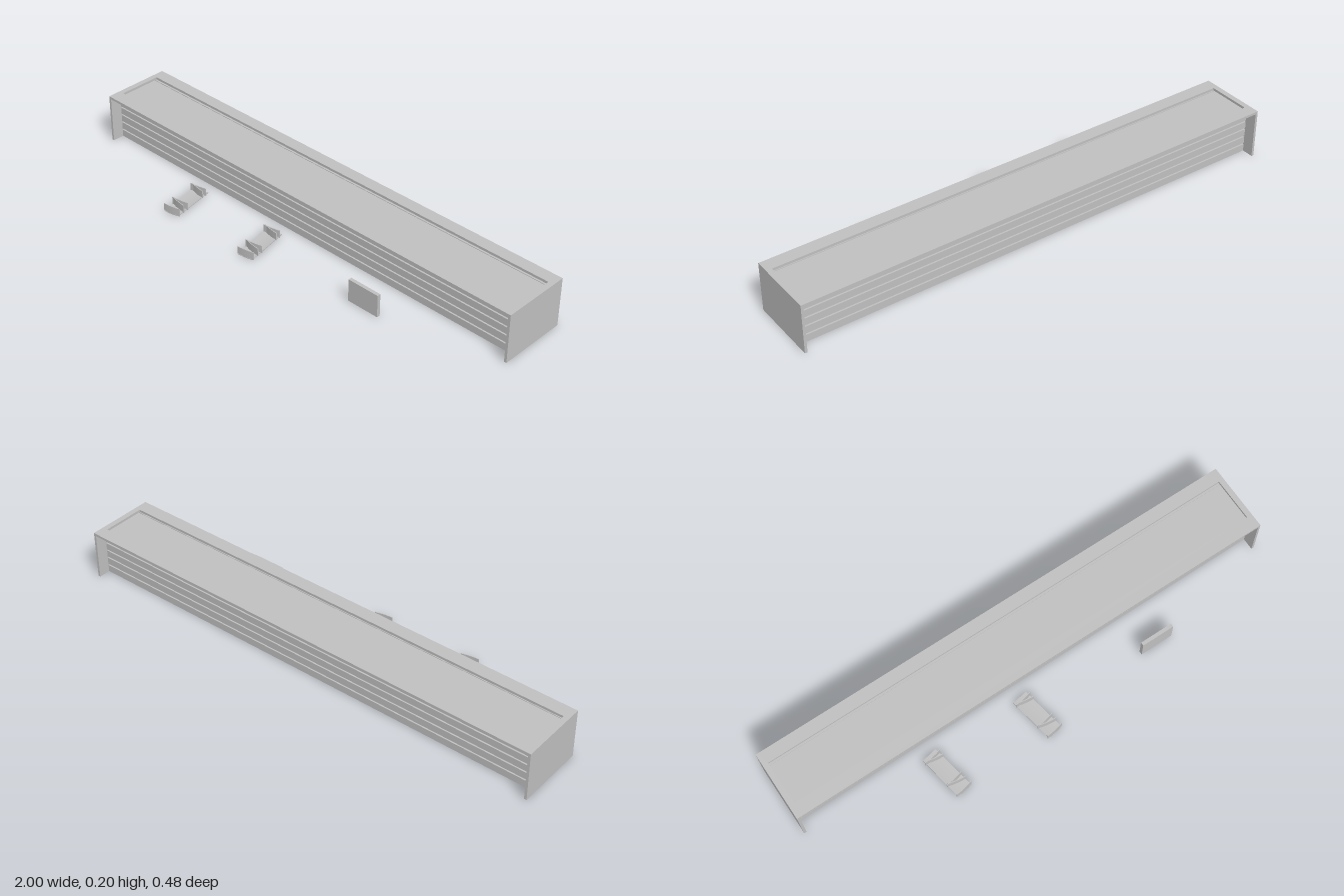
import * as THREE from 'three';

export function createModel() {
  const model = new THREE.Group();
  const grey = new THREE.MeshStandardMaterial({ color: 0xc0c0c0 });
  grey.name = 'light grey';

  const add = (parent, name, geometry, x = 0, y = 0, z = 0) => {
    const mesh = new THREE.Mesh(geometry, grey);
    mesh.name = name;
    mesh.position.set(x, y, z);
    parent.add(mesh);
    return mesh;
  };
  // Box given by its lower and upper corners
  const box = (parent, name, x0, x1, y0, y1, z0, z1) =>
    add(parent, name, new THREE.BoxGeometry(x1 - x0, y1 - y0, z1 - z0),
      (x0 + x1) / 2, (y0 + y1) / 2, (z0 + z1) / 2);

  // Long counter: core, end plates and recessed top
  const counter = new THREE.Group();
  counter.name = 'counter';
  model.add(counter);
  box(counter, 'core', -0.99, 0.99, 0, 0.188, -0.182, -0.018);
  for (const s of [-1, 1])
    box(counter, 'endPlate', Math.min(s, s * 0.99), Math.max(s, s * 0.99), 0, 0.2, -0.24, 0.04);

  // Horizontal boards with narrow shadow gaps, front and back
  const levels = [0, 0.035, 0.07, 0.104, 0.138, 0.196];
  for (let i = 0; i < 5; i++) {
    const top = levels[i + 1] - 0.006;
    box(counter, 'frontBoard', -0.99, 0.99, levels[i], top, -0.018, -0.008);
    box(counter, 'backBoard', -0.99, 0.99, levels[i], top, -0.192, -0.182);
  }

  // Overhanging top frame around the recessed panel
  const outline = new THREE.Shape([[-0.99, -0.04], [0.99, -0.04], [0.99, 0.24], [-0.99, 0.24]]
    .map(p => new THREE.Vector2(...p)));
  outline.holes.push(new THREE.Path([[-0.978, 0.014], [-0.978, 0.19], [0.978, 0.19], [0.978, 0.014]]
    .map(p => new THREE.Vector2(...p))));
  const frame = new THREE.ExtrudeGeometry(outline, { depth: 0.01, bevelEnabled: false });
  frame.rotateX(-Math.PI / 2);
  add(counter, 'topFrame', frame, 0, 0.19, 0);

  // Curved strip section: a shallow arc of given width, rise and thickness
  const arcShape = (w, rise, t) => {
    const s = new THREE.Shape();
    s.moveTo(-w / 2, rise);
    s.quadraticCurveTo(0, -rise, w / 2, rise);
    s.lineTo(w / 2, rise + t);
    s.quadraticCurveTo(0, t - rise, -w / 2, rise + t);
    return s;
  };
  const extrude = (shape, depth) =>
    new THREE.ExtrudeGeometry(shape, { depth, bevelEnabled: false, curveSegments: 10 });

  // Two angled holders with upright curved blades
  for (const x of [-0.455, -0.06]) {
    const holder = new THREE.Group();
    holder.name = 'holder';
    holder.position.set(x, 0, 0.137);
    holder.rotation.y = 0.18;
    model.add(holder);
    add(holder, 'baseStrip', extrude(arcShape(0.064, 0.002, 0.003), 0.188), 0, 0, -0.094);
    for (const [z, turn] of [[0.094, 0], [0.054, -0.34], [0.043, 0], [-0.063, -0.34], [-0.071, 0]]) {
      const blade = extrude(arcShape(0.072, 0.002, 0.003), 0.032);
      blade.rotateX(-Math.PI / 2);
      add(holder, 'blade', blade, 0, 0.002, z).rotation.y = turn;
    }
  }

  // Free-standing panel
  box(model, 'panel', 0.395, 0.53, 0, 0.092, 0.143, 0.157);
  return model;
}
